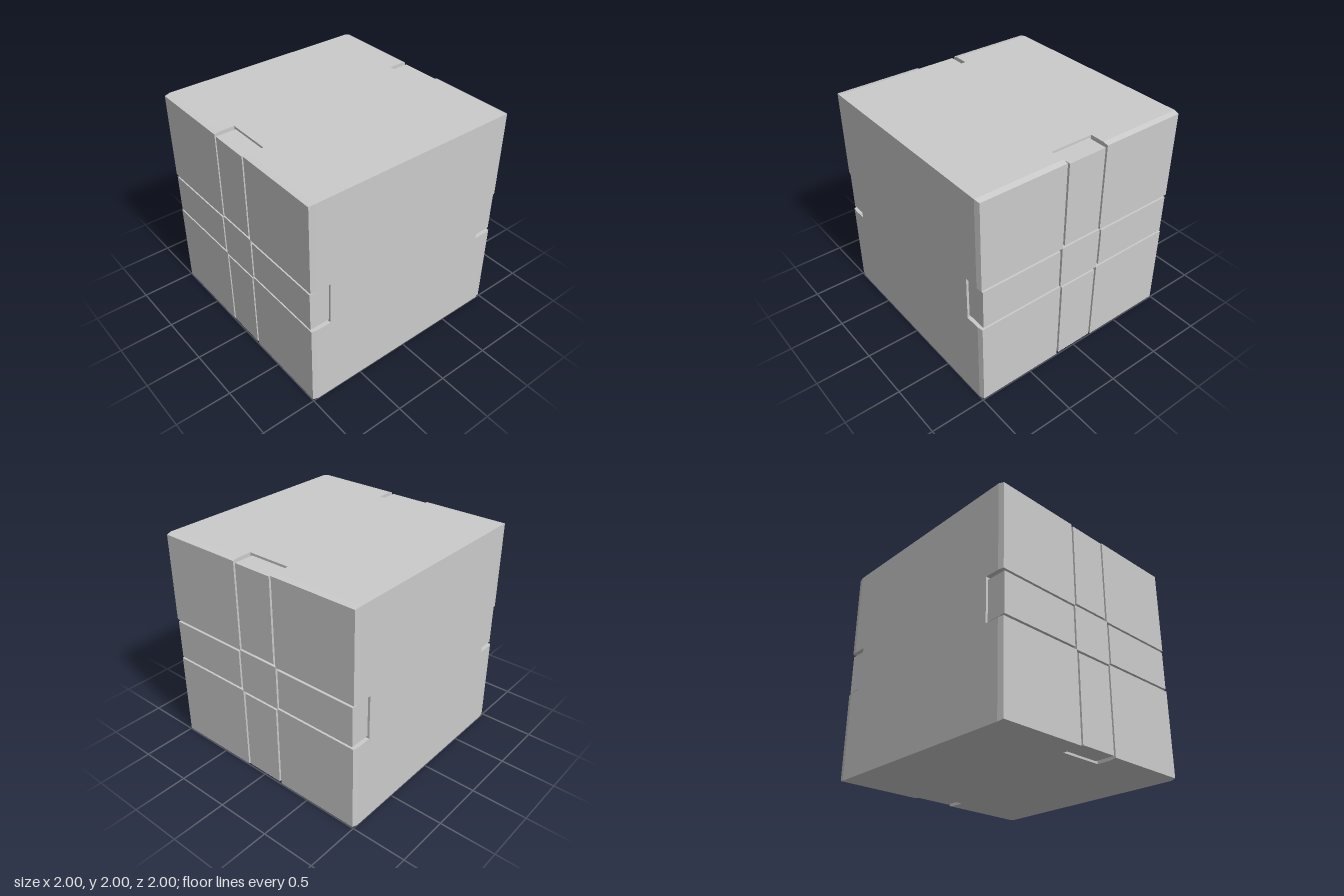
import * as THREE from 'three';

const material = new THREE.MeshStandardMaterial({ color: 0xcccccc, flatShading: true });
const DEPTH = 0.18;      // depth of the cross-shaped channel
const FLOOR = 1 - DEPTH; // z of the channel floor

function addBox(parent, name, w, h, d, x, y, z) {
  const mesh = new THREE.Mesh(new THREE.BoxGeometry(w, h, d), material);
  mesh.name = name;
  mesh.position.set(x, y, z);
  parent.add(mesh);
  return mesh;
}

// Corner pad whose outer sides draw in slightly towards the face
function cornerPadGeometry(sx, sy, sz) {
  const geo = new THREE.BoxGeometry(0.8, 0.8, DEPTH, 1, 1, 2);
  geo.translate(sx * 0.6, sy * 0.6, sz * (1 - DEPTH / 2));
  const p = geo.attributes.position;
  for (let i = 0; i < p.count; i++) {
    const z = Math.abs(p.getZ(i));
    if (z > 0.99) {
      if (Math.abs(p.getX(i)) > 0.9) p.setX(i, sx * 0.99);
      if (Math.abs(p.getY(i)) > 0.9) p.setY(i, sy * 0.99);
    } else if (z > FLOOR + 0.01) {
      p.setZ(i, sz * 0.95);
    }
  }
  const flat = geo.toNonIndexed();
  flat.computeVertexNormals();
  return flat;
}

export function createModel() {
  const model = new THREE.Group();
  model.name = 'groovedCube';
  const body = new THREE.Group();
  body.name = 'body';
  body.position.y = 1;
  model.add(body);

  // Solid middle between the two channel floors
  addBox(body, 'core', 2, 2, FLOOR * 2, 0, 0, 0);

  for (const sz of [1, -1]) {
    const face = new THREE.Group();
    face.name = sz > 0 ? 'frontFace' : 'backFace';
    body.add(face);
    const z = sz * (1 - DEPTH / 2);

    // Four raised corners
    for (const sx of [1, -1]) for (const sy of [1, -1]) {
      const pad = new THREE.Mesh(cornerPadGeometry(sx, sy, sz), material);
      pad.name = (sy > 0 ? 'upper' : 'lower') + (sx > 0 ? 'Left' : 'Right') + 'Corner';
      face.add(pad);
    }

    // Centre block and the four bars lying in the channel with a narrow gap
    addBox(face, 'centreBlock', 0.4, 0.4, DEPTH, 0, 0, z);
    for (const s of [1, -1]) {
      addBox(face, s > 0 ? 'leftBar' : 'rightBar', 0.76, 0.36, DEPTH, s * 0.6, 0, z);
      addBox(face, s > 0 ? 'upperBar' : 'lowerBar', 0.36, 0.76, DEPTH, 0, s * 0.6, z);
    }
  }
  return model;
}
